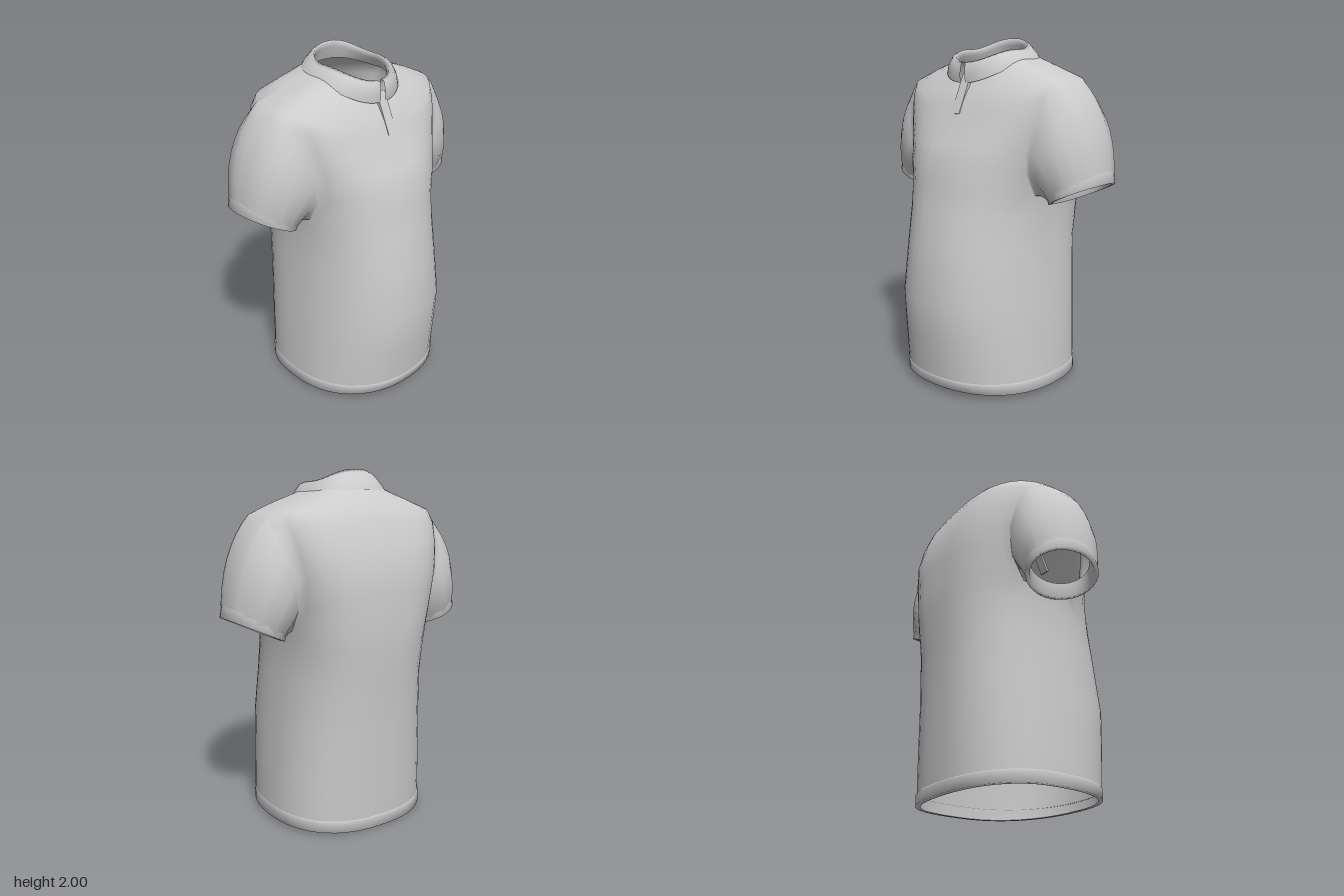
import * as THREE from 'three';
import { mergeGeometries, mergeVertices } from 'three/addons/utils/BufferGeometryUtils.js';

const N = 48;          // columns around the shirt
const ARM = 4;         // half-width of each armhole, in columns
const ARM_LOW = 6, ARM_TOP = 11; // body rows where the armholes start and end
const ZS = -0.03;      // depth of the side seams

const cloth = new THREE.MeshStandardMaterial({ color: 0xcccccc, side: THREE.DoubleSide });

function part(name, geometry) {
  const mesh = new THREE.Mesh(geometry, cloth);
  mesh.name = name;
  return mesh;
}

// Skin a list of rings (loops of points); skip(row, column) leaves holes.
function loft(rings, skip = () => false, closed = true) {
  const n = rings[0].length, index = [];
  for (let r = 0; r < rings.length - 1; r++) {
    for (let c = 0; c < (closed ? n : n - 1); c++) {
      if (skip(r, c)) continue;
      const d = (c + 1) % n;
      const a = r * n + c, b = r * n + d, up = (r + 1) * n;
      index.push(a, up + c, b, b, up + c, up + d);
    }
  }
  const g = new THREE.BufferGeometry();
  g.setAttribute('position', new THREE.Float32BufferAttribute(rings.flat(2), 3));
  g.setIndex(index);
  g.computeVertexNormals();
  return g;
}

// One point of a cross-section: heights at front, side and back, half-width, front and
// back depth, front and back squareness, and the angle the armhole columns spread over.
function sectionPoint([yF, yS, yB, hw, zF, zB, pF = 0.9, pB = 0.82, arm = 30], a) {
  const t = Math.acos(Math.min(1, Math.abs(Math.cos(a)))) / (Math.PI / 2);
  const deg = t < 1 / 3 ? t * 3 * arm : arm + (t - 1 / 3) * 1.5 * (90 - arm);
  const q = THREE.MathUtils.degToRad(deg);
  const front = Math.sin(a) > 0, p = front ? pF : pB;
  const s = Math.max(0, Math.sin(q)), c = Math.max(0, Math.cos(q));
  return [
    hw * Math.sign(Math.cos(a)) * c ** p,
    yS + ((front ? yF : yB) - yS) * s * s,
    ZS + s ** p * ((front ? zF : zB) - ZS),
  ];
}
const section = (spec) =>
  Array.from({ length: N }, (_, i) => sectionPoint(spec, (i / N) * Math.PI * 2));

const bodySpecs = [
  [0.04, 0.02, 0.0, 0.48, 0.485, -0.475],
  [0.1, 0.09, 0.08, 0.48, 0.495, -0.48],
  [0.32, 0.3, 0.3, 0.47, 0.52, -0.49],
  [0.55, 0.55, 0.55, 0.455, 0.545, -0.5],
  [0.85, 0.85, 0.85, 0.43, 0.51, -0.515, 0.9, 0.78],
  [1.05, 1.03, 1.05, 0.425, 0.47, -0.535, 0.88, 0.72, 25],
  [1.2, 1.14, 1.2, 0.435, 0.44, -0.535, 0.86, 0.66, 14],
  [1.33, 1.26, 1.35, 0.46, 0.42, -0.53, 0.84, 0.62, 24],
  [1.42, 1.42, 1.48, 0.49, 0.375, -0.52, 0.82, 0.6, 29],
  [1.52, 1.57, 1.61, 0.53, 0.325, -0.48, 0.82, 0.62, 30],
  [1.6, 1.69, 1.72, 0.55, 0.287, -0.435, 0.82, 0.66, 28],
  [1.65, 1.765, 1.79, 0.54, 0.265, -0.395, 0.85, 0.72, 20],
  [1.7, 1.825, 1.85, 0.4, 0.235, -0.335, 0.9, 0.8, 25],
  [1.75, 1.88, 1.91, 0.24, 0.2, -0.27],
];

// Edge of the armhole on the +x side, walked back to front, up, and back again.
function armholeLoop(rings) {
  const loop = [], at = (r, c) => loop.push(rings[r][(c + N) % N]);
  for (let c = -ARM; c < ARM; c++) at(ARM_LOW, c);
  for (let r = ARM_LOW; r < ARM_TOP; r++) at(r, ARM);
  for (let c = ARM; c > -ARM; c--) at(ARM_TOP, c);
  for (let r = ARM_TOP; r > ARM_LOW; r--) at(r, -ARM);
  return loop;
}

// Point on the sleeve opening; grow widens it, lift moves it up the arm.
function cuffPoint(t, grow = 0, lift = 0) {
  const s = Math.sin(t);
  return [
    0.6 + (0.15 + grow) * s - lift * 0.2,
    1.15 + (0.07 + grow * 0.3) * s + lift,
    -0.095 + (0.218 + grow) * Math.cos(t),
  ];
}

// Flip rings to the other side, keeping the faces outward.
const mirror = (rings) =>
  rings.map((ring) => ring.map(([x, y, z]) => [-x, y, z]).reverse());

// Sleeve: each armhole point runs along a curve over the upper arm to the opening.
function sleeveRings(loop) {
  const steps = 8;
  return Array.from({ length: steps + 1 }, (_, k) => {
    const t = k / steps;
    return loop.map((p) => {
      const ang = Math.atan2((p[1] - 1.46) / 0.31, (p[2] + 0.085) / 0.28);
      const e = cuffPoint(ang);
      const m = [e[0] - 0.02, e[1] + 0.21 + 0.17 * Math.sin(ang), -0.1 + (e[2] + 0.1) * 1.4];
      return p.map((v, i) => (1 - t) ** 2 * v + 2 * t * (1 - t) * m[i] + t * t * e[i]);
    });
  });
}

// Cuff: outer band edge, lower edge, turned-in edge
const cuffRings = () =>
  [[0.004, 0.07], [0.008, 0.06], [0.008, 0.0], [-0.015, 0.0], [-0.03, 0.08]].map(([g, l]) =>
    Array.from({ length: 32 }, (_, i) => cuffPoint((i / 32) * Math.PI * 2, g, l)));

export function createModel() {
  const shirt = new THREE.Group();
  shirt.name = 'poloShirt';

  // Torso with two armholes, joined smoothly to both sleeves
  const body = bodySpecs.map(section);
  const inArmhole = (r, c) =>
    r >= ARM_LOW && r < ARM_TOP && (c + ARM) % (N / 2) < 2 * ARM;
  const sleeve = sleeveRings(armholeLoop(body));
  const joined = mergeGeometries([loft(body, inArmhole), loft(sleeve), loft(mirror(sleeve))]);
  joined.deleteAttribute('normal');
  const bodice = mergeVertices(joined, 1e-4);
  bodice.computeVertexNormals();
  shirt.add(part('torsoAndSleeves', bodice));

  // Folded cuffs
  shirt.add(part('leftCuff', loft(cuffRings())), part('rightCuff', loft(mirror(cuffRings()))));

  // Bottom hem, turned inside
  shirt.add(part('hem', loft([
    [0.04, 0.02, 0.0, 0.46, 0.465, -0.455],
    [0.04, 0.02, 0.0, 0.487, 0.492, -0.483],
    [0.09, 0.08, 0.06, 0.485, 0.5, -0.485],
    [0.1, 0.09, 0.07, 0.479, 0.494, -0.478],
  ].map(section))));

  // Collar: turned-down leaf, rolled top edge and inner stand, parted at the front
  const collarSpecs = [
    [1.75, 1.85, 1.89, 0.26, 0.225, -0.3],
    [1.8, 1.885, 1.93, 0.24, 0.23, -0.28],
    [1.86, 1.925, 1.985, 0.205, 0.22, -0.235],
    [1.865, 1.935, 2.0, 0.185, 0.195, -0.21],
    [1.82, 1.9, 1.96, 0.185, 0.175, -0.215],
    [1.74, 1.85, 1.89, 0.215, 0.185, -0.24],
  ];
  const gap = 0.05, cols = 40;
  const collar = collarSpecs.map((spec) => Array.from({ length: cols + 1 }, (_, i) =>
    sectionPoint(spec, Math.PI / 2 + gap + (i / cols) * (Math.PI * 2 - 2 * gap))));
  shirt.add(part('collar', loft(collar, undefined, false)));

  // Button placket, laid along the slope of the chest
  const low = new THREE.Vector2(0.29, 1.58), high = new THREE.Vector2(0.19, 1.8);
  const placket = part('placket', new THREE.BoxGeometry(0.06, low.distanceTo(high), 0.02));
  placket.position.set(0.01, (low.y + high.y) / 2, (low.x + high.x) / 2);
  placket.rotation.x = Math.atan2(high.x - low.x, high.y - low.y);
  shirt.add(placket);

  return shirt;
}
